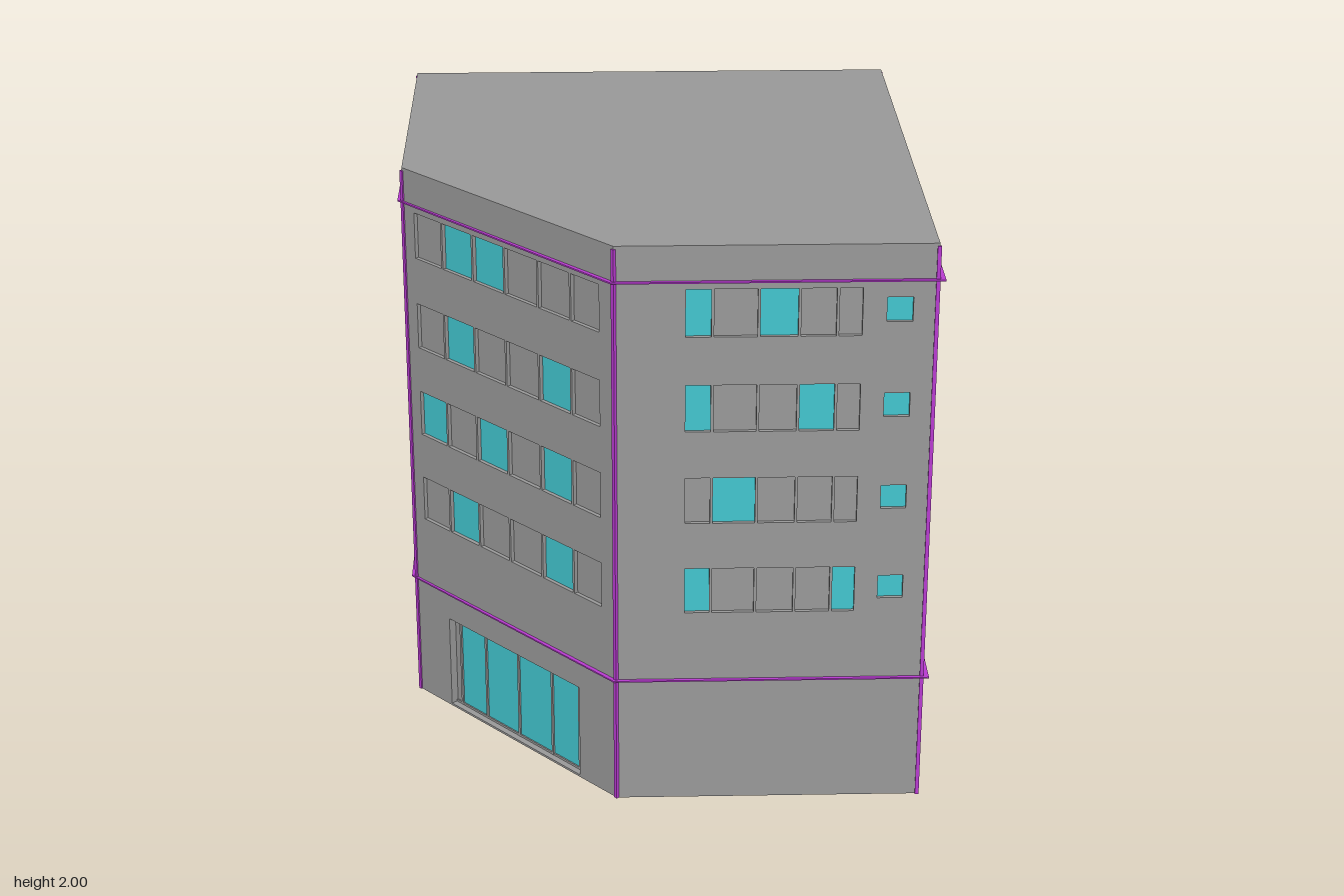
import * as THREE from 'three';

const mat = (color) => new THREE.MeshStandardMaterial({ color, side: THREE.DoubleSide });
const HEIGHT = 2;

// Footprint corners as [x, z], walked so each wall runs left to right seen from outside
const BODY = [[-0.867, -0.93], [-0.867, 0.157], [-0.164, 0.939], [0.862, 0.939], [0.862, -0.93]];
const BAND = [[-0.885, -0.953], [-0.885, 0.15], [-0.172, 0.952], [0.884, 0.952], [0.884, -0.953]];

// Window rows, top to bottom
const ROWS = [1.69, 1.361, 1.034, 0.706];
const ROW_H = 0.163;
const CUT_EDGES = [-0.828, -0.733, -0.627, -0.519, -0.408, -0.302, -0.21];
const CUT_LIT = [[1, 2], [1, 4], [0, 2, 4], [1, 4]];
const FRONT_EDGES = [0.064, 0.15, 0.297, 0.426, 0.547, 0.625];
const FRONT_LIT = [[0, 2], [0, 3], [1], [0, 4]];

export function createModel() {
  const model = new THREE.Group();
  model.name = 'cornerBuilding';
  const grey = mat(0x999999);
  const glass = mat(0x43c6cf);
  const trim = mat(0xb83bd0);

  const add = (parent, name, geometry, material, x = 0, y = 0, z = 0) => {
    const mesh = new THREE.Mesh(geometry, material);
    mesh.name = name;
    mesh.position.set(x, y, z);
    parent.add(mesh);
    return mesh;
  };
  const outline = (points) => points.map(([x, z]) => new THREE.Vector2(x, -z));
  const rect = (x0, y0, x1, y1) =>
    [[x0, y0], [x1, y0], [x1, y1], [x0, y1]].map(([x, y]) => new THREE.Vector2(x, y));

  // Recessed opening: four reveals, a row of panes at the back, bars between them
  function addOpening(parent, name, { edges, y0, y1, lit, depth, barFront, barBack }) {
    const group = new THREE.Group();
    group.name = name;
    parent.add(group);
    const x0 = edges[0], x1 = edges[edges.length - 1];
    const h = y1 - y0, cy = (y0 + y1) / 2;
    for (const x of [x0, x1])
      add(group, 'sideReveal', new THREE.PlaneGeometry(depth, h), grey, x, cy, -depth / 2)
        .rotation.y = x === x0 ? Math.PI / 2 : -Math.PI / 2;
    for (const y of [y0, y1])
      add(group, 'levelReveal', new THREE.PlaneGeometry(x1 - x0, depth), grey, (x0 + x1) / 2, y, -depth / 2)
        .rotation.x = y === y0 ? -Math.PI / 2 : Math.PI / 2;
    for (let i = 0; i < edges.length - 1; i++) {
      const w = edges[i + 1] - edges[i];
      add(group, 'pane', new THREE.PlaneGeometry(w, h), lit.includes(i) ? glass : grey,
        edges[i] + w / 2, cy, -depth);
      if (i > 0)
        add(group, 'bar', new THREE.BoxGeometry(0.009, h, barFront + barBack), grey,
          edges[i], cy, -depth + (barFront - barBack) / 2);
    }
  }

  // Openings per wall, in the wall's own coordinates
  const openings = BODY.map(() => []);
  const [cutStart, cutEnd] = [BODY[1], BODY[2]];
  const cutLength = Math.hypot(cutEnd[0] - cutStart[0], cutEnd[1] - cutStart[1]);
  const alongCut = (x) => (x - cutStart[0]) * cutLength / (cutEnd[0] - cutStart[0]);
  const alongFront = (x) => x - BODY[2][0];
  ROWS.forEach((y, r) => {
    const row = { y0: y, y1: y + ROW_H, depth: 0.014, barFront: 0.014, barBack: 0 };
    openings[1].push({ ...row, name: 'windowRow', edges: CUT_EDGES.map(alongCut), lit: CUT_LIT[r] });
    openings[2].push({ ...row, name: 'windowRow', edges: FRONT_EDGES.map(alongFront), lit: FRONT_LIT[r] });
    openings[2].push({ ...row, name: 'smallWindow', edges: [0.702, 0.785].map(alongFront),
      y0: y + 0.047, y1: y + 0.13, lit: [0] });
  });
  // Entrance: grey jamb strips at both ends, four glass doors between
  const entranceEdges = [-0.749, -0.727, -0.635, -0.518, -0.4, -0.306, -0.288].map(alongCut);
  const entrance = { edges: entranceEdges, y0: 0.008, y1: 0.352, lit: [1, 2, 3, 4],
    depth: 0.028, barFront: 0.006, barBack: 0.004 };
  openings[1].push({ ...entrance, name: 'entrance' });

  // Walls
  const wallNames = ['rightWall', 'cutCornerWall', 'frontWall', 'leftWall', 'backWall'];
  const wallAngles = BODY.map(([ax, az], i) => {
    const [bx, bz] = BODY[(i + 1) % BODY.length];
    const wall = new THREE.Group();
    wall.name = wallNames[i];
    wall.position.set(ax, 0, az);
    wall.rotation.y = -Math.atan2(bz - az, bx - ax);
    model.add(wall);
    const shape = new THREE.Shape(rect(0, 0, Math.hypot(bx - ax, bz - az), HEIGHT));
    for (const o of openings[i]) {
      shape.holes.push(new THREE.Path(rect(o.edges[0], o.y0, o.edges[o.edges.length - 1], o.y1)));
      addOpening(wall, o.name, o);
    }
    add(wall, 'wallFace', new THREE.ShapeGeometry(shape), grey);
    // Head and sill rails of the entrance frame
    if (i === 1) {
      const [left, right] = [entranceEdges[0], entranceEdges[entranceEdges.length - 1]];
      for (const y of [entrance.y0 + 0.004, entrance.y1 - 0.004])
        add(wall, 'entranceRail', new THREE.BoxGeometry(right - left, 0.008, 0.01), grey,
          (left + right) / 2, y, -entrance.depth);
    }
    return wall.rotation.y;
  });

  // Flat roof; the underside stays open
  add(model, 'roof', new THREE.ShapeGeometry(new THREE.Shape(outline(BODY))), grey, 0, HEIGHT, 0)
    .rotation.x = -Math.PI / 2;

  // Thin ledges running round the building, showing inside the walls as well
  for (const y of [0.453, 1.877]) {
    const ring = new THREE.Shape(outline(BAND));
    ring.holes.push(new THREE.Path(outline(BODY.map(([x, z]) => [x * 0.975, z * 0.975]))));
    add(model, 'ledge', new THREE.ExtrudeGeometry(ring, { depth: 0.005, bevelEnabled: false }), trim, 0, y, 0)
      .rotation.x = -Math.PI / 2;
  }

  // Slim strips up every corner; the two beside the cut corner turn with it
  BODY.forEach(([x, z], i) => {
    const strip = add(model, 'cornerStrip', new THREE.BoxGeometry(0.013, 1.99, 0.013), trim,
      x * 0.998, 0.995, z * 0.998);
    if (i === 1 || i === 2) strip.rotation.y = wallAngles[1];
  });

  return model;
}
